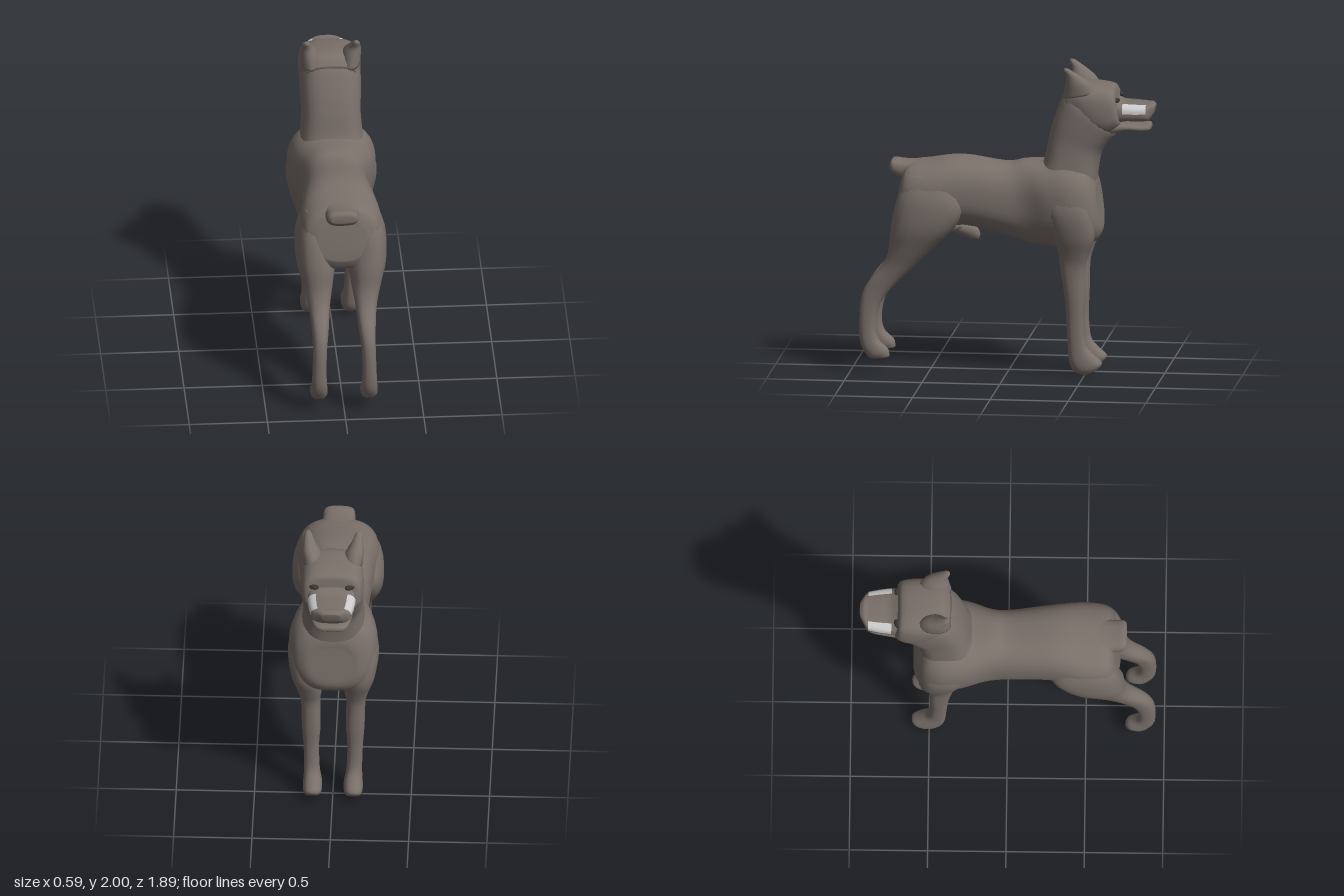
import * as THREE from 'three';

const coat = new THREE.MeshStandardMaterial({ color: 0x7a706a, side: THREE.DoubleSide });
const pale = new THREE.MeshStandardMaterial({ color: 0xcccccc, side: THREE.DoubleSide });
const dark = new THREE.MeshStandardMaterial({ color: 0x3a3532 });

const spline = (a, b, c, d, t) =>
  b + 0.5 * t * (c - a + t * (2 * a - 5 * b + 4 * c - d + t * (3 * (b - c) + d - a)));

// Loft through rings [zA, yA, zB, yB, centreX, halfWidth]: A and B are opposite
// outline points in profile. A partial angle range [from, to] gives an open strip.
function loft(rings, { power = 2.4, sides = 28, steps = 4, range = null } = {}) {
  const pos = [], idx = [], rows = [];
  const at = i => rings[Math.max(0, Math.min(rings.length - 1, i))];
  for (let i = 0; i < rings.length - 1; i++)
    for (let s = 0; s < steps; s++)
      rows.push(rings[0].map((_, k) => spline(at(i - 1)[k], at(i)[k], at(i + 1)[k], at(i + 2)[k], s / steps)));
  rows.push(at(rings.length - 1));
  const [from, to] = range || [0, Math.PI * 2];
  const cols = range ? sides + 1 : sides;
  const bend = v => Math.sign(v) * Math.abs(v) ** (2 / power);
  for (const [zA, yA, zB, yB, cx, hw] of rows)
    for (let j = 0; j < cols; j++) {
      const a = from + (to - from) * j / sides, c = bend(Math.cos(a)), s = bend(Math.sin(a));
      pos.push(cx + hw * c, (yA + yB) / 2 + s * (yA - yB) / 2, (zA + zB) / 2 + s * (zA - zB) / 2);
    }
  for (let i = 0; i < rows.length - 1; i++)
    for (let j = 0; j < sides; j++) {
      const a = i * cols + j, b = i * cols + (j + 1) % cols;
      idx.push(a, b, a + cols, b, b + cols, a + cols);
    }
  if (!range)
    for (const [row, flip] of [[0, true], [rows.length - 1, false]]) {
      const [zA, yA, zB, yB, cx] = rows[row], mid = pos.length / 3;
      pos.push(cx, (yA + yB) / 2, (zA + zB) / 2);
      for (let j = 0; j < sides; j++) {
        const a = row * cols + j, b = row * cols + (j + 1) % cols;
        idx.push(...(flip ? [b, a, mid] : [a, b, mid]));
      }
    }
  // Turn the faces outward if the signed volume is negative
  const p = pos.length / 3, v = [...Array(p).keys()].map(i => new THREE.Vector3().fromArray(pos, i * 3));
  const centre = v.reduce((sum, q) => sum.add(q), new THREE.Vector3()).divideScalar(p);
  v.forEach(q => q.sub(centre));
  let volume = 0;
  for (let i = 0; i < idx.length; i += 3)
    volume += v[idx[i]].dot(v[idx[i + 1]].clone().cross(v[idx[i + 2]]));
  if (volume < 0) for (let i = 0; i < idx.length; i += 3) [idx[i], idx[i + 1]] = [idx[i + 1], idx[i]];
  const g = new THREE.BufferGeometry();
  g.setAttribute('position', new THREE.Float32BufferAttribute(pos, 3));
  g.setIndex(idx);
  g.computeVertexNormals();
  return g;
}

export function createModel() {
  const dog = new THREE.Group();
  const add = (name, geometry, material = coat) => {
    const m = new THREE.Mesh(geometry, material);
    m.name = name;
    dog.add(m);
    return m;
  };
  const pair = (name, rings, options, material) => {
    for (const [side, sign] of [['left', -1], ['right', 1]]) {
      const o = { ...options };
      if (o.range && sign < 0) o.range = o.range.map(a => Math.PI - a);
      add(side + name, loft(rings.map(r => [...r.slice(0, 4), r[4] * sign, r[5]]), o), material);
    }
  };

  // Torso, from rump to chest
  add('torso', loft([
    [0.68, 1.26, 0.72, 1.0, 0, 0.15],
    [0.64, 1.34, 0.67, 0.92, 0, 0.24],
    [0.5, 1.365, 0.5, 0.91, 0, 0.265],
    [0.3, 1.39, 0.28, 0.945, 0, 0.235],
    [0.02, 1.355, 0, 0.88, 0, 0.21],
    [-0.1, 1.375, -0.15, 0.835, 0, 0.215],
    [-0.22, 1.38, -0.33, 0.82, 0, 0.265],
    [-0.38, 1.4, -0.46, 0.83, 0, 0.285],
    [-0.5, 1.37, -0.56, 0.86, 0, 0.25],
    [-0.56, 1.27, -0.6, 0.92, 0, 0.18],
    [-0.57, 1.2, -0.6, 0.98, 0, 0.12],
  ], { power: 2.5, sides: 36 }));

  // Neck, from the withers up to the skull
  add('neck', loft([
    [-0.19, 1.3, -0.56, 1.15, 0, 0.21],
    [-0.23, 1.39, -0.57, 1.3, 0, 0.2],
    [-0.26, 1.54, -0.595, 1.43, 0, 0.19],
    [-0.3, 1.68, -0.65, 1.51, 0, 0.195],
    [-0.36, 1.82, -0.69, 1.56, 0, 0.195],
    [-0.42, 1.87, -0.69, 1.6, 0, 0.17],
  ], { power: 2.8 }));

  // Skull with brow
  add('skull', loft([
    [-0.36, 1.82, -0.5, 1.55, 0, 0.17],
    [-0.42, 1.885, -0.6, 1.55, 0, 0.195],
    [-0.55, 1.89, -0.66, 1.56, 0, 0.2],
    [-0.67, 1.87, -0.71, 1.6, 0, 0.185],
    [-0.695, 1.83, -0.73, 1.62, 0, 0.15],
  ], { power: 3 }));

  // Muzzle ending in the nose, and the lower jaw below the open mouth
  const muzzle = [
    [-0.65, 1.82, -0.67, 1.62, 0, 0.155],
    [-0.74, 1.77, -0.75, 1.645, 0, 0.15],
    [-0.82, 1.765, -0.82, 1.645, 0, 0.14],
    [-0.89, 1.762, -0.89, 1.648, 0, 0.125],
    [-0.92, 1.765, -0.91, 1.66, 0, 0.095],
    [-0.945, 1.75, -0.93, 1.69, 0, 0.055],
  ];
  add('muzzle', loft(muzzle, { power: 3 }));
  add('lowerJaw', loft([
    [-0.64, 1.65, -0.62, 1.55, 0, 0.15],
    [-0.76, 1.637, -0.75, 1.585, 0, 0.135],
    [-0.85, 1.628, -0.85, 1.583, 0, 0.115],
    [-0.9, 1.628, -0.9, 1.585, 0, 0.09],
    [-0.915, 1.615, -0.915, 1.595, 0, 0.05],
  ], { power: 3 }));

  // Pale cheek patches hugging the muzzle
  pair('CheekPatch', muzzle.slice(1, 4).map(([a, b, c, d, x, w]) => [a, b + 0.003, c, d - 0.003, x, w + 0.003]),
    { power: 3, sides: 10, range: [0, 1.0] }, pale);

  // Eyes under the brow
  for (const [side, sign] of [['left', -1], ['right', 1]]) {
    const eye = add(side + 'Eye', new THREE.SphereGeometry(1, 16, 10), dark);
    eye.scale.set(0.035, 0.016, 0.022);
    eye.position.set(sign * 0.115, 1.79, -0.7);
    eye.rotation.y = -sign * 0.5;
  }

  // Pointed ears
  pair('Ear', [
    [-0.36, 1.8, -0.58, 1.84, 0.125, 0.065],
    [-0.375, 1.88, -0.54, 1.9, 0.138, 0.058],
    [-0.385, 1.94, -0.48, 1.945, 0.152, 0.038],
    [-0.37, 1.985, -0.42, 1.985, 0.16, 0.022],
    [-0.375, 2.0, -0.4, 1.997, 0.16, 0.01],
  ], { power: 2, sides: 16 });

  // Forelegs, from shoulder to paw
  pair('Foreleg', [
    [-0.3, 1.27, -0.48, 1.29, 0.17, 0.06],
    [-0.25, 1.1, -0.55, 1.1, 0.185, 0.105],
    [-0.3, 0.92, -0.57, 0.92, 0.17, 0.1],
    [-0.335, 0.8, -0.53, 0.79, 0.15, 0.08],
    [-0.345, 0.7, -0.505, 0.69, 0.145, 0.062],
    [-0.375, 0.5, -0.5, 0.5, 0.14, 0.06],
    [-0.385, 0.35, -0.495, 0.35, 0.14, 0.05],
    [-0.395, 0.15, -0.51, 0.2, 0.135, 0.05],
    [-0.41, 0.06, -0.56, 0.135, 0.13, 0.06],
    [-0.45, 0.015, -0.612, 0.085, 0.13, 0.06],
    [-0.5, 0.002, -0.59, 0.045, 0.13, 0.045],
  ], { sides: 20 });

  // Hind legs, from thigh over the hock to paw
  pair('HindLeg', [
    [0.62, 1.29, 0.36, 1.27, 0.165, 0.06],
    [0.695, 1.15, 0.27, 1.1, 0.18, 0.105],
    [0.74, 0.95, 0.33, 0.95, 0.165, 0.125],
    [0.755, 0.8, 0.47, 0.81, 0.155, 0.098],
    [0.8, 0.69, 0.6, 0.68, 0.15, 0.07],
    [0.89, 0.58, 0.73, 0.55, 0.15, 0.055],
    [0.935, 0.47, 0.81, 0.44, 0.155, 0.046],
    [0.945, 0.3, 0.838, 0.3, 0.16, 0.045],
    [0.935, 0.18, 0.82, 0.21, 0.16, 0.05],
    [0.89, 0.1, 0.76, 0.15, 0.16, 0.056],
    [0.86, 0.088, 0.75, 0.1, 0.16, 0.042],
  ], { sides: 20 });

  // Docked tail
  add('tail', loft([
    [0.56, 1.355, 0.6, 1.2, 0, 0.13],
    [0.66, 1.355, 0.68, 1.235, 0, 0.105],
    [0.74, 1.362, 0.735, 1.262, 0, 0.1],
    [0.76, 1.34, 0.76, 1.29, 0, 0.075],
  ], { power: 2.8, sides: 20 }));

  // Small underbelly folds
  add('bellyFold', loft([
    [0.36, 0.97, 0.38, 0.9, 0, 0.04],
    [0.28, 0.95, 0.31, 0.87, 0, 0.04],
    [0.21, 0.93, 0.24, 0.845, 0, 0.035],
    [0.185, 0.88, 0.195, 0.845, 0, 0.015],
  ], { power: 2, sides: 16 }));
  pair('GroinFold', [
    [0.42, 0.95, 0.42, 0.91, 0.03, 0.02],
    [0.36, 0.96, 0.37, 0.89, 0.03, 0.035],
    [0.3, 0.95, 0.3, 0.92, 0.03, 0.02],
  ], { power: 2, sides: 14 });

  return dog;
}
